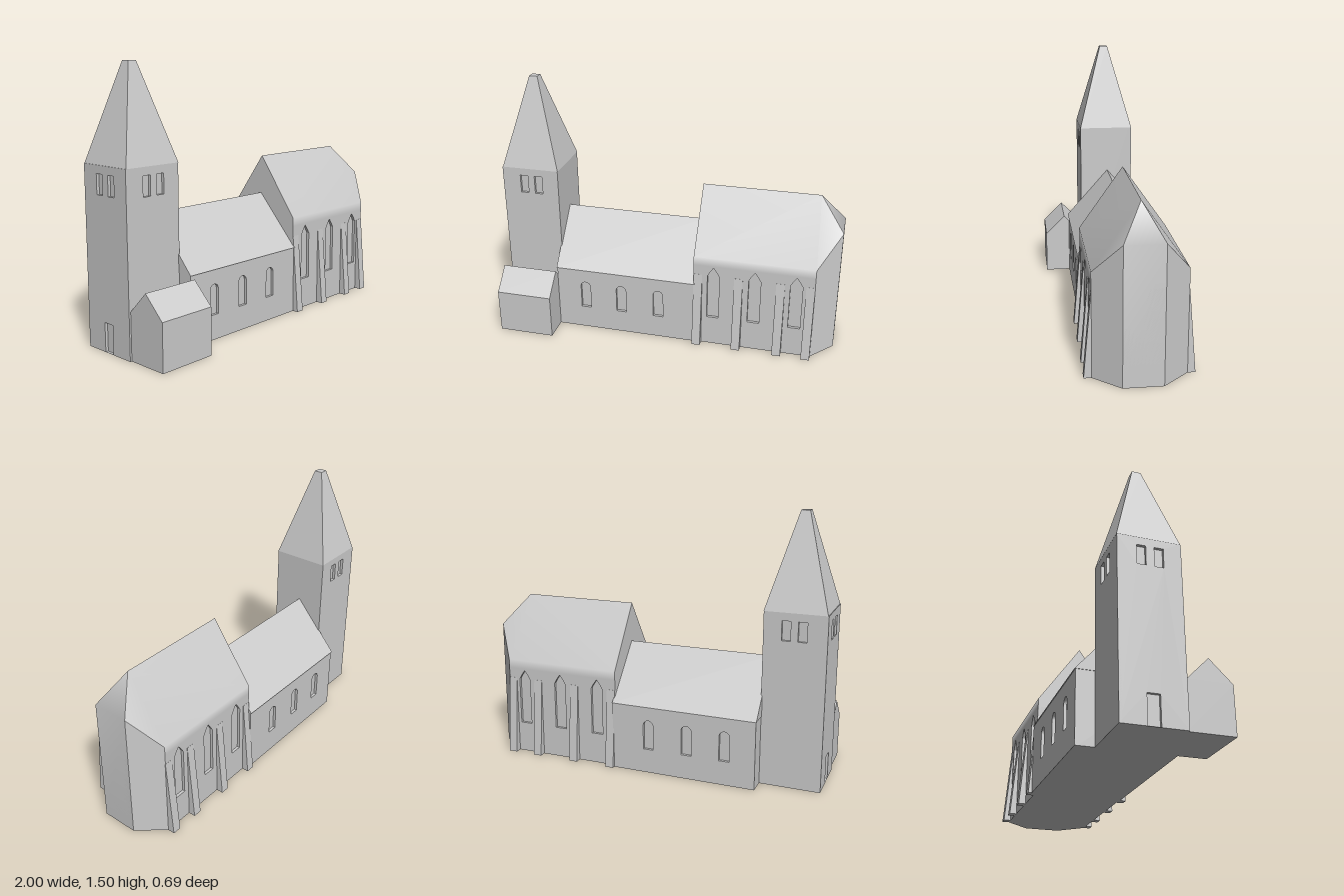
import * as THREE from 'three';

const T = 0.016; // depth of window and door recesses
const ZC = -0.0575; // long axis of the building

export function createModel() {
  const model = new THREE.Group();
  const stone = new THREE.MeshStandardMaterial({ color: 0xcccccc });
  stone.name = 'stone';

  function add(name, geometry, parent = model) {
    const mesh = new THREE.Mesh(geometry, stone);
    mesh.name = name;
    parent.add(mesh);
    return mesh;
  }
  function group(name) {
    const g = new THREE.Group();
    g.name = name;
    model.add(g);
    return g;
  }
  const shapeOf = (pts) => new THREE.Shape(pts.map(([x, y]) => new THREE.Vector2(x, y)));
  const extrude = (shape, depth) =>
    new THREE.ExtrudeGeometry(shape, { depth, bevelEnabled: false, curveSegments: 8 });

  // (z, y) profile swept along x
  const prism = (pts, x0, x1) =>
    extrude(shapeOf(pts), x1 - x0).rotateY(-Math.PI / 2).translate(x1, 0, 0);

  function box(x0, x1, y0, y1, z0, z1) {
    return new THREE.BoxGeometry(x1 - x0, y1 - y0, z1 - z0)
      .translate((x0 + x1) / 2, (y0 + y1) / 2, (z0 + z1) / 2);
  }

  // wall sheet with openings cut through it
  function panel(u0, u1, h, holes) {
    const s = shapeOf([[u0, 0], [u1, 0], [u1, h], [u0, h]]);
    s.holes.push(...holes);
    return extrude(s, T);
  }

  // faces sharing corners are shaded smoothly; separate calls give sharp edges
  function faces(name, pts, polys, parent, flip = false) {
    const index = [];
    for (const p of polys) {
      for (let i = 1; i < p.length - 1; i++) {
        index.push(...(flip ? [p[0], p[i + 1], p[i]] : [p[0], p[i], p[i + 1]]));
      }
    }
    const g = new THREE.BufferGeometry();
    g.setAttribute('position', new THREE.Float32BufferAttribute(pts.flat(), 3));
    g.setIndex(index);
    g.computeVertexNormals();
    add(name, g, parent);
  }

  // opening outlines
  const rectHole = (c, w, y0, y1) =>
    shapeOf([[c - w / 2, y0], [c + w / 2, y0], [c + w / 2, y1], [c - w / 2, y1]]);
  function roundHole(c, w, y0, y1) {
    const p = new THREE.Path();
    p.moveTo(c - w / 2, y0);
    p.lineTo(c + w / 2, y0);
    p.lineTo(c + w / 2, y1 - w / 2);
    p.absarc(c, y1 - w / 2, w / 2, 0, Math.PI, false);
    p.lineTo(c - w / 2, y0);
    return p;
  }
  const lancetHole = (c, w, y0, y1) => shapeOf([
    [c - w / 2, y0], [c + w / 2, y0], [c + w / 2, y1 - 0.055], [c + w * 0.3, y1 - 0.03],
    [c, y1], [c - w * 0.3, y1 - 0.03], [c - w / 2, y1 - 0.055],
  ]);

  // Tower
  const tower = group('tower');
  const [tx0, tx1, tz0, tz1, th] = [-1, -0.657, -0.225, 0.11, 0.98];
  add('towerCore', box(tx0 + T, tx1, 0, th, tz0 + T, tz1 - T), tower);
  const belfry = (...centres) => centres.map((c) => rectHole(c, 0.048, 0.828, 0.936));
  add('towerFrontWall', panel(tx0, tx1, th, belfry(-0.868, -0.78)).translate(0, 0, tz1 - T), tower);
  add('towerBackWall', panel(tx0, tx1, th, belfry(-0.868, -0.78)).translate(0, 0, tz0), tower);
  const west = [...belfry(-0.1, -0.008), rectHole(-0.058, 0.065, 0.001, 0.16)];
  add('towerWestWall', panel(tz0, tz1, th, west).rotateY(-Math.PI / 2).translate(tx0 + T, 0, 0), tower);
  const spire = new THREE.CylinderGeometry(0.024 * Math.SQRT2, 0.168 * Math.SQRT2, 0.52, 4)
    .rotateY(Math.PI / 4).toNonIndexed();
  spire.computeVertexNormals();
  add('spire', spire.scale(1.015, 1, 1).translate(-0.826, th + 0.26, ZC), tower);

  // Porch beside the tower
  add('porch', prism([[0.1, 0.26], [0.1, 0], [0.348, 0], [0.348, 0.26], [0.227, 0.38], [0.11, 0.26]], -0.99, -0.66));

  // Nave
  const nave = group('nave');
  const [nx0, nx1, nz0, nz1] = [-0.66, 0.185, -0.325, 0.195];
  add('naveCore', box(nx0, nx1, 0, 0.397, nz0 + T, nz1 - T), nave);
  for (const z of [nz0, nz1 - T]) {
    const holes = [-0.485, -0.263, -0.035].map((c) => roundHole(c, 0.06, 0.14, 0.312));
    add('naveWall', panel(nx0, nx1, 0.397, holes).translate(0, 0, z), nave);
  }
  add('naveRoof', prism([[nz0 - 0.006, 0.393], [nz1 + 0.006, 0.393], [-0.065, 0.695]], nx0 - 0.003, nx1), nave);

  // Chancel with a three-sided east end
  const chancel = group('chancel');
  const [cx0, cx1, cx2, half, inner] = [0.178, 0.875, 1, 0.2475, 0.105];
  const [wallTop, eave, hipY, ridgeY, ridgeX] = [0.52, 0.57, 0.745, 0.922, 0.858];
  const [zf, zb] = [ZC + half, ZC - half];
  const footprint = [
    [cx0, -(zf - T)], [cx1, -(zf - T)], [cx1, -zf], [cx2, -(ZC + inner)],
    [cx2, -(ZC - inner)], [cx1, -zb], [cx1, -(zb + T)], [cx0, -(zb + T)],
  ];
  add('chancelCore', extrude(shapeOf(footprint), wallTop).rotateX(-Math.PI / 2), chancel);
  for (const z of [zb, zf - T]) {
    const holes = [0.295, 0.535, 0.772].map((c) => lancetHole(c, 0.07, 0.18, 0.51));
    add('chancelWall', panel(cx0, cx1, wallTop, holes).translate(0, 0, z), chancel);
  }
  for (const s of [1, -1]) {
    const [zo, zi] = [ZC + s * half, ZC + s * inner];
    faces('chancelRoof', [
      [cx0, wallTop, zo], [cx1, wallTop, zo], [cx1, eave, zo], [cx0, eave, zo],
      [cx2, hipY, zi], [ridgeX, ridgeY, ZC], [cx0, ridgeY, ZC],
    ], [[0, 1, 2, 3], [5, 6, 3, 2, 4]], chancel, s < 0);
    faces('apseSideWall', [
      [cx1, 0, zo], [cx2, 0, zi], [cx2, hipY, zi], [cx1, eave, zo],
    ], [[0, 1, 2, 3]], chancel, s < 0);
    // battered buttresses
    for (const x of [0.204, 0.441, 0.682, 0.851]) {
      add('buttress', prism([
        [zo - s * 0.012, 0], [zo + s * 0.04, 0], [zo + s * 0.001, 0.46], [zo - s * 0.012, 0.46],
      ], x - 0.025, x + 0.025), chancel);
    }
  }
  faces('apseEndAndHip', [
    [cx2, 0, ZC + inner], [cx2, 0, ZC - inner], [cx2, hipY, ZC - inner],
    [cx2, hipY, ZC + inner], [ridgeX, ridgeY, ZC],
  ], [[0, 1, 2, 3], [3, 2, 4]], chancel);
  faces('chancelGable', [
    [cx0, 0, zb], [cx0, 0, zf], [cx0, eave, zf], [cx0, ridgeY, ZC], [cx0, eave, zb],
  ], [[0, 1, 2, 3, 4]], chancel);

  return model;
}
